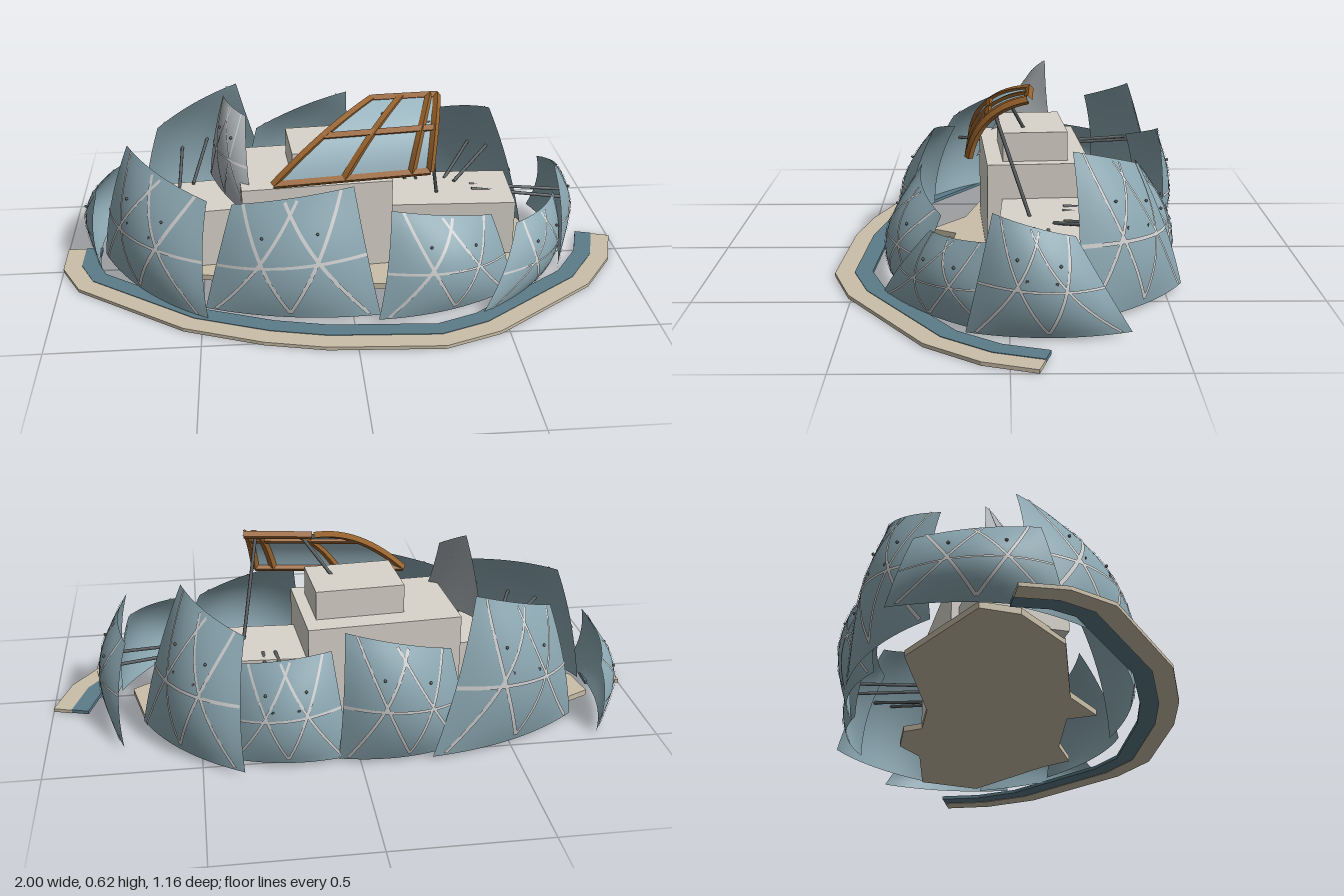
import * as THREE from 'three';

const V = (a) => new THREE.Vector3(...a);
const mat = (color, extra = {}) => new THREE.MeshStandardMaterial({ color, ...extra });
const M = {
  shell: mat(0x8aa6b0, { side: THREE.DoubleSide }),
  rib: mat(0xcccccc, { side: THREE.DoubleSide }),
  steel: mat(0x5c6163),
  stone: mat(0xd8d3ca),
  sand: mat(0xcabfa9),
  water: mat(0x5b7c89),
  wood: mat(0x99632c, { flatShading: true }),
  glass: mat(0x9fbbc6, { side: THREE.DoubleSide }),
  shard: mat(0xa9afb3, { side: THREE.DoubleSide }),
};

function add(parent, name, geometry, material) {
  const m = new THREE.Mesh(geometry, material);
  m.name = name;
  parent.add(m);
  return m;
}

// Curved patch through four corners (seen from outside: bl, br, tr, tl);
// rise scales how far the bulge follows the upward lean of the patch
function patch([bl, br, tr, tl], bulge, rise) {
  const [a, b, c, d] = [bl, br, tr, tl].map(V);
  const n = c.clone().sub(a).cross(d.clone().sub(b)).normalize();
  n.y *= rise;
  n.normalize();
  return (u, v, lift = 0) => {
    const p = a.clone().lerp(b, u).lerp(d.clone().lerp(c, u), v);
    return p.addScaledVector(n, bulge(u, v) + lift);
  };
}

const arch = (t) => 4 * t * (1 - t);

// Grid surface from a rule over u and v in 0..1
function surface(f, nu = 14, nv = 14) {
  const g = new THREE.PlaneGeometry(1, 1, nu, nv);
  const pos = g.attributes.position;
  for (let i = 0; i < pos.count; i++) {
    const p = f(pos.getX(i) + 0.5, pos.getY(i) + 0.5);
    pos.setXYZ(i, p.x, p.y, p.z);
  }
  g.computeVertexNormals();
  return g;
}

// Flat strip lying on a patch along a straight uv line
function ribbon(f, [u0, v0, u1, v1], width) {
  const du = u1 - u0, dv = v1 - v0, l = Math.hypot(du, dv);
  return surface((s, t) => {
    const w = (t - 0.5) * width;
    return f(u0 + du * s - (dv / l) * w, v0 + dv * s + (du / l) * w, 0.004);
  }, 14, 1);
}

// Square timber bar following a straight uv line on a patch
function bar(f, [u0, v0, u1, v1]) {
  const pts = [];
  for (let i = 0; i <= 8; i++) pts.push(f(u0 + ((u1 - u0) * i) / 8, v0 + ((v1 - v0) * i) / 8));
  return new THREE.TubeGeometry(new THREE.CatmullRomCurve3(pts), 14, 0.014, 4);
}

function rod(parent, name, a, b, radius = 0.006) {
  const d = b.clone().sub(a);
  const m = add(parent, name, new THREE.CylinderGeometry(radius, radius, d.length(), 8), M.steel);
  m.position.copy(a).addScaledVector(d, 0.5);
  m.quaternion.setFromUnitVectors(new THREE.Vector3(0, 1, 0), d.normalize());
}

const RIBS = [
  [0, 0.45, 1, 0.5], [0.5, 0.05, 0.9, 1], [0.5, 0.05, 0.1, 1],
  [0.06, 0.02, 0.55, 0.98], [0.94, 0.02, 0.45, 0.98],
];

// One shell petal with ribs, bolts and optional struts to an inner anchor
function petal(parent, name, corners, bulge, anchor, material = M.shell) {
  const g = new THREE.Group();
  g.name = name;
  parent.add(g);
  // Fullest in the middle, flatter along the sides and top
  const belly = (u, v) => bulge * (arch(u) * (1 - 0.4 * v) + arch(v) * (0.45 + 0.8 * arch(u)));
  const f = patch(corners, belly, 0.45);
  add(g, 'shellPanel', surface(f), material);
  for (const r of RIBS) add(g, 'rib', ribbon(f, r, 0.025), M.rib);
  for (const [u, v] of [[0.3, 0.72], [0.7, 0.72]]) {
    add(g, 'bolt', new THREE.SphereGeometry(0.005, 8, 6), M.steel).position.copy(f(u, v, 0.005));
  }
  if (anchor) {
    const p = V(anchor);
    for (const s of [-1, 1]) {
      const foot = p.clone().add(f(0.5 + s * 0.1, 0.5).sub(f(0.5, 0.5)).multiplyScalar(0.6));
      rod(g, 'strut', foot, f(0.5 + s * 0.12, 0.55));
    }
  }
}

// Flat slab from an outline of [x, z] points
function slab(parent, name, pts, y, h, material) {
  const shape = new THREE.Shape(pts.map(([x, z]) => new THREE.Vector2(x, -z)));
  const geo = new THREE.ExtrudeGeometry(shape, { depth: h, bevelEnabled: false });
  geo.rotateX(-Math.PI / 2);
  add(parent, name, geo, material).position.y = y;
}

// Offsets a polyline sideways toward the middle of the model
function inset(pts, d) {
  return pts.map(([x, z], i) => {
    const a = pts[Math.max(i - 1, 0)], b = pts[Math.min(i + 1, pts.length - 1)];
    const dx = b[0] - a[0], dz = b[1] - a[1], l = Math.hypot(dx, dz);
    return [x + (dz / l) * d, z - (dx / l) * d];
  });
}

function block(parent, name, [x0, x1], [z0, z1], [y0, y1], turn) {
  const m = add(parent, name, new THREE.BoxGeometry(x1 - x0, y1 - y0, z1 - z0), M.stone);
  m.position.set((x0 + x1) / 2, (y0 + y1) / 2, (z0 + z1) / 2);
  m.rotation.y = turn;
}

export function createModel() {
  const root = new THREE.Group();
  root.name = 'petalPavilion';

  // Curved path and water strip around the front
  const path = [[-1, -0.14], [-1, 0], [-0.93, 0.14], [-0.56, 0.41], [-0.3, 0.51], [-0.1, 0.555],
    [0.28, 0.578], [0.47, 0.51], [0.83, 0.25], [0.95, 0.08], [1, -0.08]];
  const middle = inset(path, 0.065), inner = inset(path, 0.125);
  slab(root, 'outerPath', [...path, ...middle.slice().reverse()], 0, 0.012, M.sand);
  slab(root, 'waterStrip', [...middle, ...inner.slice().reverse()], 0.002, 0.012, M.water);

  // Floor
  slab(root, 'floor', [[-0.85, -0.22], [-0.5, -0.39], [-0.08, -0.28], [0.09, -0.28], [0.13, -0.34],
    [0.28, -0.34], [0.38, -0.26], [0.68, -0.22], [0.73, 0], [0.42, 0.21], [0.34, 0.29], [0.19, 0.22],
    [-0.08, 0.19], [-0.13, 0.28], [-0.27, 0.16], [-0.66, 0.06], [-0.83, -0.1]], 0.005, 0.02, M.sand);

  // Buildings inside the shell
  block(root, 'westBlock', [-0.73, -0.36], [-0.2, 0.04], [0.02, 0.24], 0.1);
  block(root, 'centreBlock', [-0.37, 0.15], [-0.26, 0.09], [0.02, 0.35], 0.07);
  block(root, 'upperBlock', [-0.19, 0.11], [-0.19, 0.03], [0.32, 0.45], 0.07);
  block(root, 'eastBlock', [0.13, 0.61], [-0.23, 0.03], [0.02, 0.23], -0.04);

  // Shell petals, going round from the front
  petal(root, 'frontRightPetal', [[-0.86, 0.01, -0.1], [-0.48, 0.01, 0.36], [-0.47, 0.37, 0.21], [-0.75, 0.44, -0.1]], 0.05, [-0.6, 0.24, -0.04]);
  petal(root, 'frontPetal', [[-0.49, 0.01, 0.29], [0.09, 0.01, 0.38], [0.01, 0.43, 0.26], [-0.39, 0.35, 0.2]], 0.045);
  petal(root, 'frontLeftPetal', [[0.08, 0.01, 0.41], [0.56, 0.01, 0.25], [0.48, 0.28, 0.21], [0.13, 0.35, 0.29]], 0.048);
  petal(root, 'leftFrontPetal', [[0.43, 0.01, 0.4], [0.77, 0.01, 0.02], [0.73, 0.28, 0.06], [0.56, 0.26, 0.24]], 0.04);
  petal(root, 'leftPetal', [[0.75, 0.01, 0.13], [0.75, 0.01, -0.36], [0.73, 0.3, -0.19], [0.73, 0.37, 0.05]], 0.045, [0.47, 0.23, -0.1]);
  petal(root, 'backLeftPetal', [[0.69, 0.01, -0.2], [0.37, 0.01, -0.56], [0.35, 0.41, -0.41], [0.54, 0.5, -0.19]], 0.045, [0.4, 0.23, -0.16]);
  petal(root, 'backPetalSmall', [[0.42, 0.01, -0.47], [0.03, 0.01, -0.51], [0.08, 0.35, -0.43], [0.37, 0.31, -0.4]], 0.042, [0.26, 0.23, -0.18]);
  petal(root, 'backPetal', [[0.07, 0.01, -0.52], [-0.36, 0.01, -0.47], [-0.3, 0.34, -0.44], [0.05, 0.45, -0.51]], 0.045);
  petal(root, 'backRightPetal', [[-0.23, 0.01, -0.55], [-0.75, 0.01, -0.34], [-0.66, 0.41, -0.31], [-0.37, 0.52, -0.45]], 0.045, [-0.56, 0.24, -0.17]);
  petal(root, 'rightPetal', [[-0.8, 0.01, -0.47], [-0.86, 0.01, 0.02], [-0.87, 0.26, -0.05], [-0.82, 0.22, -0.4]], 0.045);
  petal(root, 'openPetal', [[-0.47, 0.29, -0.17], [-0.32, 0.25, 0.12], [-0.335, 0.55, -0.07], [-0.41, 0.6, -0.14]], 0.02, null, M.shard);

  // Raised curved window with a timber grid
  const win = new THREE.Group();
  win.name = 'raisedWindow';
  root.add(win);
  const f = patch([[-0.25, 0.38, 0.13], [0.28, 0.41, 0.13], [0.325, 0.61, -0.06], [0.1, 0.6, -0.07]],
    (u, v) => 0.045 * arch(v), 1);
  add(win, 'glass', surface(f), M.glass);
  for (const u of [0, 0.45, 0.88, 1]) add(win, 'timberUpright', bar(f, [u, 0, u, 1]), M.wood);
  for (const v of [0, 0.5, 1]) add(win, 'timberRail', bar(f, [0, v, 1, v]), M.wood);
  rod(win, 'windowProp', V([0.02, 0.43, -0.06]), f(0.4, 0.75));
  rod(win, 'windowProp', V([0.34, 0.22, -0.07]), f(0.93, 0.6));

  return root;
}
